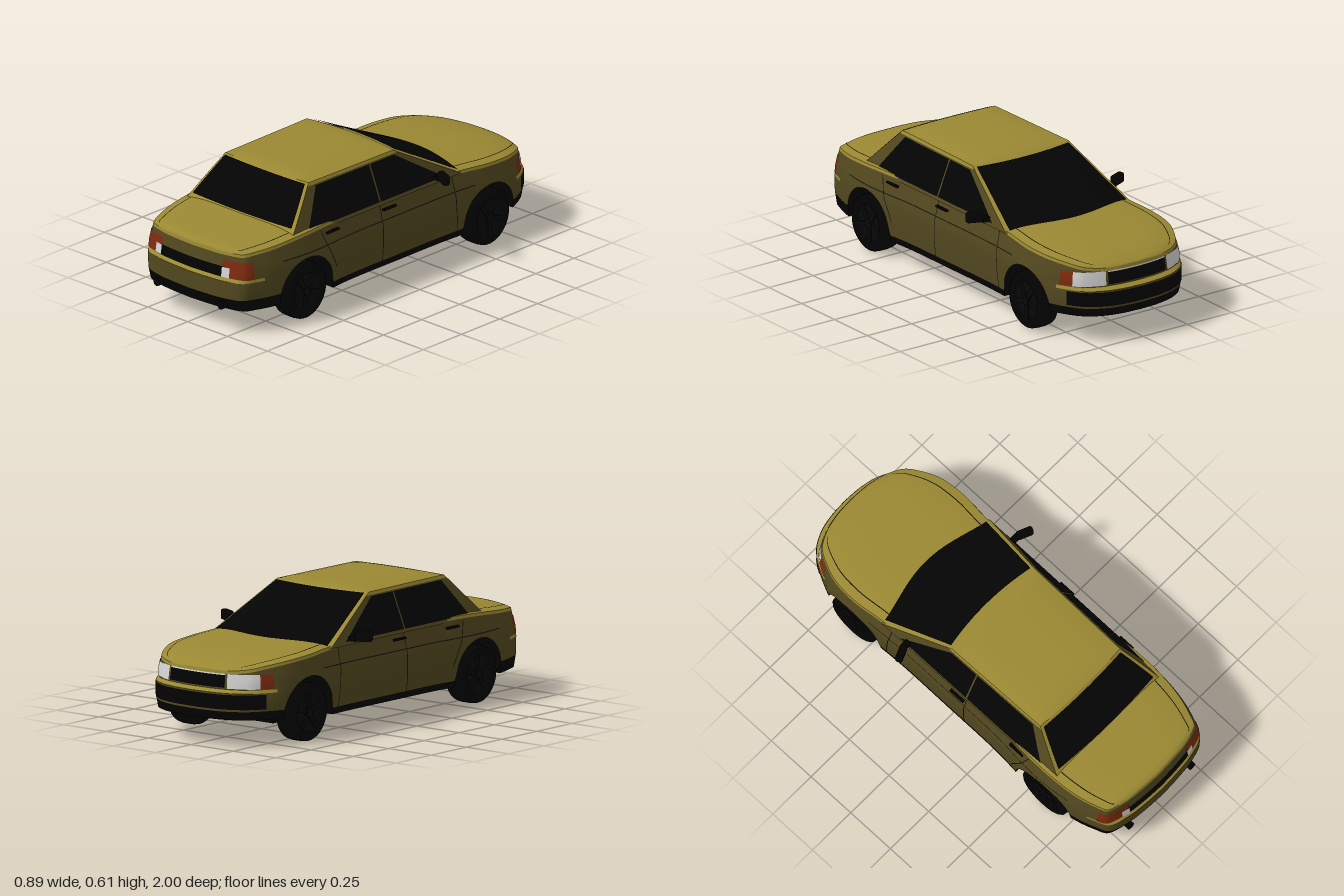
import * as THREE from 'three';
import { toCreasedNormals } from 'three/addons/utils/BufferGeometryUtils.js';
import { RoundedBoxGeometry } from 'three/addons/geometries/RoundedBoxGeometry.js';

const { lerp, clamp } = THREE.MathUtils;
const V = (x, y, z) => new THREE.Vector3(x, y, z);

function makeMaterial(name, color) {
  const m = new THREE.MeshStandardMaterial({ color, side: THREE.DoubleSide });
  m.name = name;
  return m;
}

// Surface from a rule fn(u, v) with u and v running 0..1
function grid(fn, nu, nv) {
  const pos = [], index = [];
  for (let j = 0; j <= nv; j++) {
    for (let i = 0; i <= nu; i++) {
      const p = fn(i / nu, j / nv);
      pos.push(p.x, p.y, p.z);
      if (i < nu && j < nv) {
        const a = j * (nu + 1) + i, b = a + nu + 1;
        index.push(a, b, a + 1, a + 1, b, b + 1);
      }
    }
  }
  const g = new THREE.BufferGeometry();
  g.setAttribute('position', new THREE.Float32BufferAttribute(pos, 3));
  g.setIndex(index);
  g.computeVertexNormals();
  return g;
}

// Half outline in plan from nose to tail; y holds the shoulder height
const outline = new THREE.CatmullRomCurve3([
  [0, .35, -1], [.1, .35, -.993], [.19, .352, -.97], [.27, .36, -.92], [.325, .375, -.84],
  [.365, .388, -.74], [.38, .398, -.6], [.37, .408, -.45], [.363, .415, -.3], [.363, .42, 0],
  [.365, .42, .3], [.38, .42, .5], [.38, .415, .62], [.36, .402, .78], [.33, .393, .88],
  [.295, .387, .95], [.2, .385, .983], [.1, .385, .995], [0, .385, 1],
].map((p) => V(...p)));

function tAt(z) {
  let a = 0, b = 1;
  for (let i = 0; i < 30; i++) {
    const m = (a + b) / 2;
    if (outline.getPoint(m).z < z) a = m; else b = m;
  }
  return z <= -1 ? 0 : z >= 1 ? 1 : (a + b) / 2;
}

// Point on the lower body skin at path position t and height y
function skin(t, y, off = 0) {
  const p = outline.getPoint(t), d = outline.getTangent(t);
  const nx = d.z, nz = -d.x;
  const side = Math.max(0, y - .3) * .25 + Math.max(0, .2 - y) * .1;
  const step = clamp((y - .255) / .012, 0, 1), rise = Math.max(0, y - .267);
  const end = (p.z < 0 ? step * .028 + rise * .14 : step * .012 + rise * .15) + Math.max(0, .17 - y) * .3;
  const inset = side * nx * nx + end * nz * nz;
  const x = t <= 0 || t >= 1 ? 0 : Math.max(0, p.x + nx * (off - inset));
  return V(x, y, p.z + nz * (off - inset));
}

const archY = (z) => {
  const d = Math.abs(Math.abs(z) - .6);
  return d < .165 ? .14 + Math.sqrt(.165 ** 2 - d * d) : 0;
};
const baseY = (z) => Math.max(archY(z), Math.abs(z) < .7 ? .1 : z < 0 ? .13 : .115);
const trimY = (z) => Math.max(archY(z), Math.abs(z) < .7 ? .13 : .17);

// Hood and boot surface, u from -1 to 1 across the car
function deck(u, t, off = 0) {
  const p = skin(t, outline.getPoint(t).y);
  return V(p.x * u, p.y + .018 * Math.min(1, p.x / .25) * (1 - u ** 4) + off, p.z);
}

// Cabin surfaces; v runs from belt to roof
const cabinY = (v) => lerp(.4, .6, v);
const frontZ = (v) => lerp(-.43, -.065, v);
const rearZ = (v) => lerp(.67, .48, v);
function cabinX(z, v) {
  const belt = .35 - .012 * clamp((z - .4) / .27, 0, 1);
  return lerp(belt, lerp(.27, .26, clamp((z + .08) / .56, 0, 1)), v);
}
function screen(front, u, v, off = 0) {
  const z = front ? frontZ(v) : rearZ(v), s = front ? -1 : 1;
  const bow = (front ? lerp(.1, .025, v) : lerp(.015, .01, v)) * (1 - u * u);
  return V(u * cabinX(z, v), cabinY(v) + off, z + s * (bow + off));
}

export function createModel() {
  const paint = makeMaterial('goldPaint', 0x9a8832);
  const shade = makeMaterial('darkGoldPaint', 0x52481f);
  const glass = makeMaterial('darkGlass', 0x040404);
  const trim = makeMaterial('blackTrim', 0x020202);
  const rimMat = makeMaterial('darkRim', 0x080808);
  const white = makeMaterial('clearLamp', 0xd4d4d4);
  const red = makeMaterial('redLamp', 0x7e2a0e);
  const seamMat = makeMaterial('seam', 0x1a170c);

  const car = new THREE.Group();
  car.name = 'car';
  function add(name, geo, mat, parent = car) {
    const m = new THREE.Mesh(geo, mat);
    m.name = name;
    parent.add(m);
    return m;
  }
  const flip = (fn, s) => (u, v) => { const p = fn(u, v); p.x *= s; return p; };
  const pair = (name, fn, nu, nv, mat, crease) => {
    for (const s of [1, -1]) {
      const g = grid(flip(fn, s), nu, nv);
      add((s > 0 ? 'left ' : 'right ') + name, crease ? toCreasedNormals(g, .5) : g, mat);
    }
  };
  const patch = (name, z0, z1, y0, y1, mat, off = .003) => {
    const a = tAt(z0), b = tAt(z1);
    pair(name, (u, v) => skin(lerp(a, b, u), lerp(y0, y1, v), off), 24, 4, mat);
  };
  const seam = (name, za, ya, zb, yb) => {
    const l = Math.hypot(zb - za, yb - ya), dz = (yb - ya) / l, dy = (za - zb) / l;
    pair(name, (u, v) => {
      const w = (u - .5) * .005;
      return skin(tAt(lerp(za, zb, v) + dz * w), lerp(ya, yb, v) + dy * w, .002);
    }, 1, 24, seamMat);
  };

  // Lower body, bright shoulder, black skirt and floor
  const N = 360, levels = [0, .2, .255, .267, .3, .33, .36, 1], shoulder = .014;
  pair('body side', (t, v) => {
    const p = outline.getPoint(t);
    return skin(t, clamp(levels[Math.round(v * 7)], trimY(p.z), p.y - shoulder));
  }, N, 7, shade, true);
  pair('shoulder', (t, v) => skin(t, outline.getPoint(t).y - shoulder * (1 - v)), N, 1, paint);
  patch('nose bumper lip', -1, -.8, .254, .268, paint, .001);
  patch('tail bumper lip', .85, 1, .254, .268, paint, .001);
  pair('skirt', (t, v) => {
    const z = outline.getPoint(t).z;
    return skin(t, lerp(baseY(z), trimY(z), v));
  }, N, 2, trim);
  add('floor and arch liners', grid((t, v) => {
    const p = skin(t, baseY(outline.getPoint(t).z));
    p.x *= v * 2 - 1;
    return p;
  }, N, 2), trim);
  add('chassis', new THREE.BoxGeometry(.52, .24, 1.46), trim).position.y = .21;

  // Hood and boot lid with shut lines
  add('hood and boot', grid((t, v) => deck(v * 2 - 1, t), N, 16), paint);
  for (const [name, z0, z1] of [['hood seam', -.93, -.43], ['boot seam', .66, .95]]) {
    const a = tAt(z0), b = tAt(z1);
    pair(name, (u, v) => deck(.87 + u * .014, lerp(a, b, v), .002), 1, 24, seamMat);
  }

  // Cabin shell and roof
  for (const [name, v0, v1, mat] of [['cabin side', 0, .93, shade], ['roof rail', .93, 1, paint]]) {
    pair(name, (u, v) => {
      const k = lerp(v0, v1, v), z = lerp(frontZ(k), rearZ(k), u);
      return V(cabinX(z, k), cabinY(k), z);
    }, 24, 6, mat);
  }
  for (const front of [true, false]) {
    const name = front ? 'windscreen' : 'rear window';
    add(name + ' frame', grid((u, v) => screen(front, u * 2 - 1, v), 16, 6), paint);
    const v0 = front ? .03 : .17, v1 = front ? .97 : .96;
    add(name, grid((u, v) => screen(front, (u * 2 - 1) * .95, lerp(v0, v1, v), .004), 16, 6), glass);
  }
  add('roof', grid((u, v) => {
    const a = u * 2 - 1, p = screen(true, a, 1), q = screen(false, a, 1);
    const bulge = .014 * (1 - a ** 4) * (1 - (2 * v - 1) ** 8);
    return V(lerp(p.x, q.x, v), .6 + bulge, lerp(p.z, q.z, v));
  }, 16, 24), paint);

  // Side windows: bottom and top z at each end
  for (const [name, b0, b1, t0, t1] of [
    ['front door window', -.32, .094, -.06, .094], ['rear door window', .102, .56, .102, .445]]) {
    pair(name, (u, v) => {
      const k = lerp(.08, .91, v), z = lerp(lerp(b0, t0, v), lerp(b1, t1, v), u);
      return V(cabinX(z, k) + .004, cabinY(k), z);
    }, 12, 6, glass);
  }

  // Door shut lines and waist crease
  seam('centre door seam', .097, .13, .097, .41);
  seam('front door seam', -.39, .13, -.37, .4);
  seam('rear door seam', .41, .2, .47, .32);
  seam('rear door upper seam', .47, .32, .5, .4);
  seam('waist crease', -.5, .325, .75, .325);

  // Nose details
  patch('grille', -1, -.978, .275, .332, trim);
  patch('grille rim', -1, -.978, .332, .338, white);
  patch('bumper intake', -1, -.85, .18, .248, trim);
  patch('headlamp', -.974, -.872, .272, .338, white);
  patch('indicator', -.872, -.815, .272, .338, red);

  // Tail details
  patch('tail lamp', .9, .985, .27, .35, red);
  patch('tail panel', .982, 1, .27, .318, trim, .004);
  patch('reversing lamp', .976, .985, .27, .316, white, .006);

  for (const s of [1, -1]) {
    const sideName = s > 0 ? 'left ' : 'right ';
    // Door handles
    for (const z of [.05, .425]) {
      add(sideName + 'door handle', new RoundedBoxGeometry(.016, .01, .085, 2, .004), trim)
        .position.set(s * .358, .377, z);
    }
    // Door mirrors
    const mirror = add(sideName + 'mirror', new RoundedBoxGeometry(.08, .05, .035, 3, .012), trim);
    mirror.position.set(s * .403, .441, -.258);
    mirror.rotation.y = -s * .4;
    add(sideName + 'mirror stalk', new THREE.BoxGeometry(.05, .02, .03), trim).position.set(s * .352, .426, -.275);
    // Exhaust tips
    const pipe = add(sideName + 'exhaust', new THREE.CylinderGeometry(.019, .019, .1, 16), trim);
    pipe.rotation.x = Math.PI / 2;
    pipe.position.set(s * .2, .135, .945);

    // Wheels with recessed spoked rims
    for (const z of [-.6, .6]) {
      const wheel = new THREE.Group();
      wheel.name = sideName + (z < 0 ? 'nose wheel' : 'tail wheel');
      const profile = [[.085, -.05], [.12, -.05], [.132, -.04], [.135, -.02], [.135, .02], [.132, .04],
        [.12, .05], [.088, .05], [.084, .03]].map((p) => new THREE.Vector2(...p));
      add('tyre', new THREE.LatheGeometry(profile, 40), trim, wheel);
      add('rim', new THREE.CylinderGeometry(.086, .086, .07, 32), rimMat, wheel);
      add('hub', new THREE.CylinderGeometry(.022, .025, .02, 16), rimMat, wheel).position.y = .04;
      for (let i = 0; i < 5; i++) {
        const a = i * Math.PI * 2 / 5;
        const spoke = add('spoke', new THREE.BoxGeometry(.07, .012, .022), rimMat, wheel);
        spoke.position.set(Math.cos(a) * .05, .039, -Math.sin(a) * .05);
        spoke.rotation.y = a;
      }
      wheel.rotation.z = -s * Math.PI / 2;
      wheel.position.set(s * .32, .135, z);
      car.add(wheel);
    }
  }
  return car;
}
